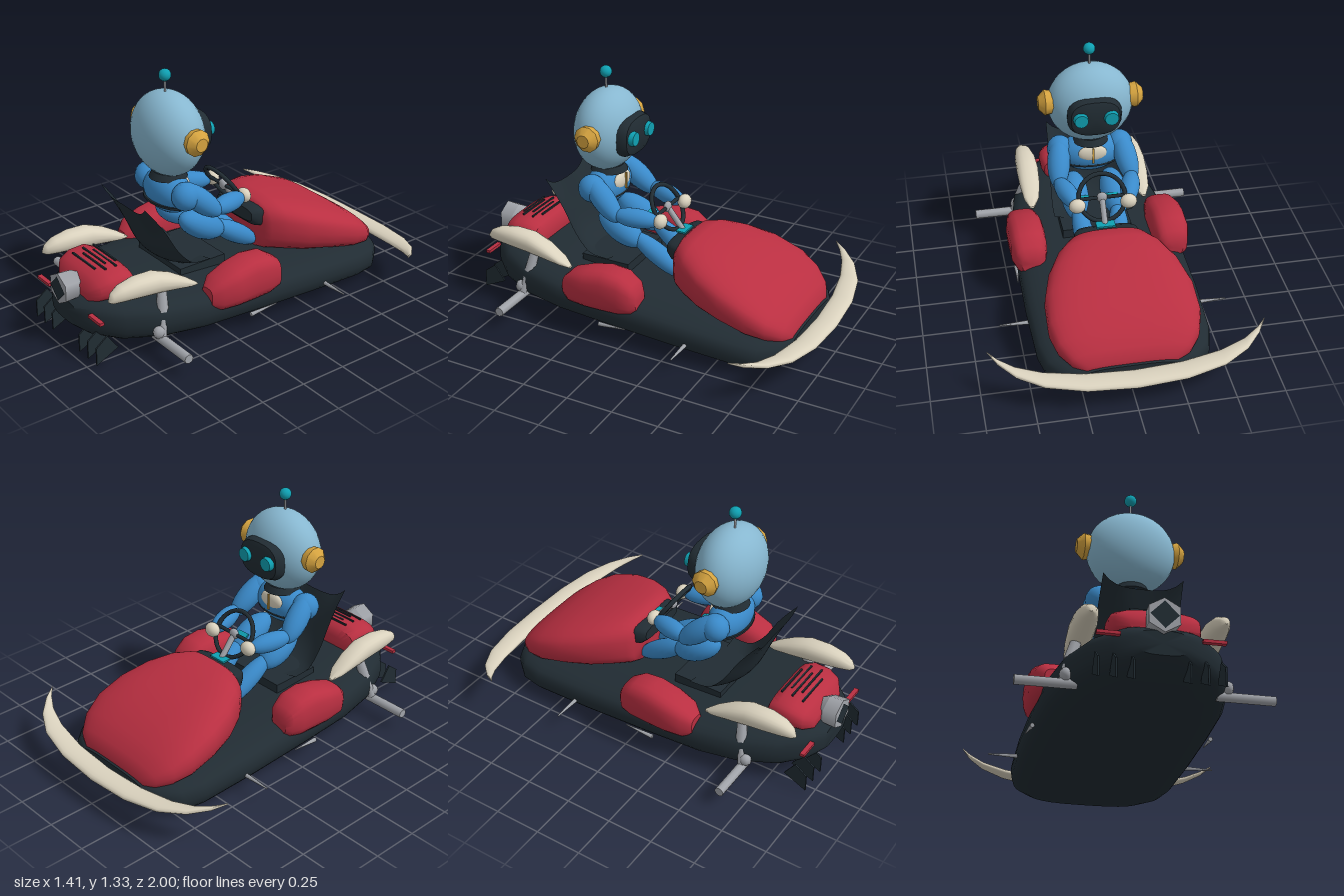
import * as THREE from 'three';
import { toCreasedNormals } from 'three/addons/utils/BufferGeometryUtils.js';

const V = (x, y, z) => new THREE.Vector3(x, y, z);

// Skin over superellipse sections [z, halfWidth, yBottom, yTop, xCentre]
function loft(sections, power = 2.6, n = 24, crease = 0.7) {
  const pos = [], idx = [], e = 2 / power;
  const bend = (c) => Math.sign(c) * Math.abs(c) ** e;
  for (const [z, w, y0, y1, cx = 0] of sections)
    for (let j = 0; j < n; j++) {
      const t = (j / n) * Math.PI * 2;
      pos.push(cx + w * bend(Math.cos(t)), (y0 + y1) / 2 + ((y1 - y0) / 2) * bend(Math.sin(t)), z);
    }
  const m = sections.length;
  for (let i = 0; i < m - 1; i++)
    for (let j = 0; j < n; j++) {
      const k = (j + 1) % n, a = i * n + j, b = i * n + k;
      idx.push(a, b, b + n, a, b + n, a + n);
    }
  for (const i of [0, m - 1]) {
    const [z, , y0, y1, cx = 0] = sections[i], c = pos.length / 3;
    pos.push(cx, (y0 + y1) / 2, z);
    for (let j = 0; j < n; j++) {
      const a = i * n + j, b = i * n + ((j + 1) % n);
      if (i === 0) idx.push(c, b, a); else idx.push(c, a, b);
    }
  }
  const g = new THREE.BufferGeometry();
  g.setAttribute('position', new THREE.Float32BufferAttribute(pos, 3));
  g.setIndex(idx);
  return toCreasedNormals(g, crease);
}

export function createModel() {
  const root = new THREE.Group();
  root.name = 'robotKart';
  const mat = {};
  const colours = {
    charcoal: 0x212c33, red: 0xb92f41, cream: 0xdad2be, paleBlue: 0x87b7d0,
    blue: 0x3a8aca, gold: 0xd6a440, teal: 0x0fa0b2, silver: 0xa1a4aa,
  };
  for (const [name, color] of Object.entries(colours)) {
    mat[name] = new THREE.MeshStandardMaterial({ color });
    mat[name].name = name;
  }
  const add = (name, geo, m, p = V(0, 0, 0)) => {
    const mesh = new THREE.Mesh(geo, mat[m]);
    mesh.name = name;
    mesh.position.copy(p);
    root.add(mesh);
    return mesh;
  };
  const aim = (mesh, a, b) => {
    mesh.quaternion.setFromUnitVectors(V(0, 1, 0), b.clone().sub(a).normalize());
    return mesh;
  };
  const bar = (name, a, b, r, m, r2 = r, sides = 8) =>
    aim(add(name, new THREE.CylinderGeometry(r2, r, a.distanceTo(b), sides), m, a.clone().lerp(b, 0.5)), a, b);
  const ball = (name, p, rx, ry, rz, m, n = 20) => {
    const mesh = add(name, new THREE.SphereGeometry(1, n, Math.ceil(n * 0.7)), m, p);
    mesh.scale.set(rx, ry, rz);
    return mesh;
  };
  const limb = (name, a, b, r) =>
    aim(ball(name, a.clone().lerp(b, 0.5), r, a.distanceTo(b) / 2, r, 'blue'), a, b);

  // Hull
  add('hull', loft([
    [-0.86, 0.27, 0.03, 0.17], [-0.82, 0.35, 0.005, 0.19], [-0.74, 0.42, 0, 0.2], [-0.62, 0.45, 0.005, 0.215],
    [-0.3, 0.46, 0.02, 0.24], [0.1, 0.455, 0.035, 0.265], [0.4, 0.44, 0.04, 0.285], [0.62, 0.4, 0.05, 0.3],
    [0.8, 0.32, 0.07, 0.305], [0.91, 0.22, 0.1, 0.295], [0.965, 0.12, 0.14, 0.26],
  ], 3.2, 32), 'charcoal');

  // Hood and dashboard
  add('hood', loft([
    [-0.85, 0.23, 0.13, 0.2], [-0.82, 0.3, 0.13, 0.255], [-0.75, 0.36, 0.14, 0.315], [-0.65, 0.39, 0.15, 0.385],
    [-0.5, 0.385, 0.18, 0.448], [-0.36, 0.345, 0.2, 0.49], [-0.25, 0.285, 0.22, 0.513], [-0.18, 0.225, 0.23, 0.512],
    [-0.155, 0.19, 0.24, 0.49],
  ], 3, 32, 1), 'red');
  add('dashboard', loft([[-0.2, 0.18, 0.36, 0.49], [-0.13, 0.17, 0.38, 0.495], [-0.1, 0.15, 0.41, 0.48]], 4), 'charcoal');
  add('dashScreen', new THREE.BoxGeometry(0.1, 0.009, 0.05), 'teal', V(0, 0.5, -0.125));

  // Engine cover with slots, and exhaust
  add('engineCover', loft([
    [0.66, 0.17, 0.27, 0.36], [0.68, 0.205, 0.27, 0.405], [0.73, 0.22, 0.27, 0.43], [0.81, 0.22, 0.27, 0.425],
    [0.87, 0.2, 0.27, 0.4], [0.91, 0.14, 0.27, 0.35],
  ], 3.2, 28), 'red');
  [0.71, 0.74, 0.77, 0.8, 0.83].forEach((z, i) =>
    add('coverSlot', new THREE.BoxGeometry(0.21, 0.009, 0.009), 'charcoal',
      V(i % 2 ? 0.03 : -0.02, z > 0.81 ? 0.418 : 0.428, z)));
  bar('exhaustTaper', V(0, 0.325, 0.84), V(0, 0.325, 0.92), 0.035, 'silver', 0.08, 6);
  bar('exhaust', V(0, 0.325, 0.92), V(0, 0.325, 0.995), 0.08, 'silver', 0.085, 6);
  add('exhaustHole', new THREE.CircleGeometry(0.068, 4), 'charcoal', V(0, 0.325, 0.999));

  // Front wing, a crescent lofted along x
  const wing = [];
  for (const [x, zo, zi, y0, y1] of [
    [0.705, -0.72, -0.715, 0.242, 0.25], [0.66, -0.792, -0.755, 0.213, 0.236], [0.58, -0.875, -0.8, 0.186, 0.215],
    [0.45, -0.945, -0.84, 0.16, 0.197], [0.25, -0.988, -0.87, 0.14, 0.183], [0, -1, -0.88, 0.13, 0.178],
  ]) {
    const s = [(zi - zo) / 2, y0, y1, -(zo + zi) / 2];
    wing.push([x, ...s]);
    if (x) wing.push([-x, ...s]);
  }
  add('frontWing', loft(wing.sort((a, b) => a[0] - b[0]), 2.2, 16, 1).rotateY(Math.PI / 2), 'cream');

  // Seat shell, a bent sheet
  const back = new THREE.CatmullRomCurve3([
    V(0, 0.305, 0.22), V(0, 0.31, 0.38), V(0, 0.38, 0.47), V(0, 0.52, 0.535), V(0, 0.655, 0.585)]);
  const seat = new THREE.PlaneGeometry(2, 1, 12, 16), sp = seat.attributes.position;
  for (let i = 0; i < sp.count; i++) {
    const u = sp.getX(i), v = sp.getY(i) + 0.5, p = back.getPoint(v);
    sp.setXYZ(i, u * (0.22 - 0.02 * v), p.y + 0.06 * u * u * u * u * v + 0.03 * u * u * (1 - v),
      p.z + 0.02 * u * u * v - 0.28 * u * u * v * (1 - v));
  }
  seat.computeVertexNormals();
  const shell = mat.charcoal.clone();
  shell.side = THREE.DoubleSide;
  mat.charcoal.side = THREE.DoubleSide;
  add('seat', seat, 'charcoal');
  add('seatBase', new THREE.BoxGeometry(0.38, 0.05, 0.28), 'charcoal', V(0, 0.29, 0.25));

  // Steering wheel and column
  const wheelC = V(0, 0.605, -0.025), tilt = Math.atan2(0.06, 0.095);
  add('steeringWheel', new THREE.TorusGeometry(0.125, 0.012, 8, 28), 'charcoal', wheelC).rotation.x = tilt;
  bar('steeringColumn', V(0, 0.45, -0.15), wheelC, 0.016, 'silver');
  bar('wheelSpoke', V(-0.12, 0.605, -0.025), V(0.12, 0.605, -0.025), 0.01, 'charcoal');
  ball('wheelHub', wheelC, 0.03, 0.03, 0.02, 'silver', 12);

  // Driver's head
  ball('head', V(0, 0.99, 0.325), 0.23, 0.222, 0.165, 'paleBlue', 32);
  add('visor', loft([
    [0.135, 0.09, 0.905, 1.055], [0.145, 0.13, 0.885, 1.08], [0.18, 0.145, 0.87, 1.09], [0.24, 0.14, 0.88, 1.08],
  ], 2.7), 'charcoal');
  bar('antennaRod', V(0, 1.2, 0.335), V(0, 1.28, 0.335), 0.006, 'silver');
  ball('antennaBall', V(0, 1.297, 0.335), 0.032, 0.032, 0.032, 'teal', 16);

  // Driver's body
  ball('torso', V(0, 0.675, 0.33), 0.17, 0.11, 0.1, 'blue', 24);
  bar('neck', V(0, 0.755, 0.325), V(0, 0.79, 0.325), 0.1, 'charcoal', 0.08, 20);
  const belt = add('belt', new THREE.CylinderGeometry(0.165, 0.165, 0.012, 24), 'charcoal', V(0, 0.632, 0.335));
  belt.scale.z = 0.6;
  ball('chestPlate', V(0, 0.705, 0.25), 0.08, 0.05, 0.025, 'cream', 16);
  add('chestStripe', new THREE.BoxGeometry(0.009, 0.09, 0.009), 'gold', V(0, 0.705, 0.223));

  for (const s of [-1, 1]) {
    // Ears and eyes
    bar('ear', V(s * 0.2, 1.01, 0.315), V(s * 0.245, 1.01, 0.315), 0.062, 'gold', 0.07, 10);
    bar('earCap', V(s * 0.245, 1.01, 0.315), V(s * 0.28, 1.01, 0.315), 0.07, 'gold', 0.035, 10);
    bar('eye', V(s * 0.08, 0.99, 0.15), V(s * 0.08, 0.99, 0.115), 0.042, 'teal', 0.036, 16);

    // Arms and legs
    ball('shoulder', V(s * 0.165, 0.7, 0.335), 0.07, 0.075, 0.075, 'blue', 16);
    limb('upperArm', V(s * 0.16, 0.765, 0.37), V(s * 0.205, 0.565, 0.15), 0.062);
    limb('forearm', V(s * 0.205, 0.6, 0.19), V(s * 0.135, 0.58, -0.05), 0.052);
    ball('hand', V(s * 0.137, 0.585, -0.055), 0.045, 0.04, 0.035, 'cream', 14);
    limb('thigh', V(s * 0.1, 0.55, 0.325), V(s * 0.115, 0.41, 0.07), 0.075);
    limb('shin', V(s * 0.11, 0.465, 0.13), V(s * 0.08, 0.26, -0.18), 0.055);
    add('kneePad', new THREE.BoxGeometry(0.07, 0.009, 0.03), 'teal', V(s * 0.08, 0.515, 0.11)).rotation.x = -0.5;

    // Side pod and rear fender
    add('sidePod', loft([
      [-0.07, 0.05, 0.2, 0.3], [-0.045, 0.08, 0.18, 0.345], [0.02, 0.098, 0.165, 0.387], [0.12, 0.1, 0.16, 0.397],
      [0.22, 0.1, 0.16, 0.375], [0.32, 0.085, 0.165, 0.34], [0.37, 0.045, 0.185, 0.29],
    ].map((q) => [...q, s * 0.39]), 3, 20), 'red');
    add('rearFender', loft([
      [0.385, 0.012, 0.288, 0.3, 0.32], [0.44, 0.042, 0.298, 0.34, 0.316], [0.53, 0.057, 0.312, 0.395, 0.312],
      [0.63, 0.062, 0.325, 0.435, 0.31], [0.74, 0.058, 0.335, 0.44, 0.31], [0.83, 0.044, 0.342, 0.425, 0.311],
      [0.88, 0.025, 0.345, 0.4, 0.313], [0.9, 0.006, 0.355, 0.37, 0.315],
    ].map(([z, w, a, b, x]) => [z, w, a, b, s * x]), 2.4, 18, 0.9), 'cream');

    // Axles, struts and side spikes
    bar('rearAxle', V(s * 0.33, 0.1, 0.65), V(s * 0.62, 0.1, 0.65), 0.025, 'silver');
    bar('strut', V(s * 0.4, 0.1, 0.65), V(s * 0.36, 0.25, 0.62), 0.022, 'silver', 0.018);
    bar('strutUpper', V(s * 0.36, 0.23, 0.62), V(s * 0.32, 0.36, 0.6), 0.03, 'silver', 0.025);
    ball('strutJoint', V(s * 0.385, 0.14, 0.66), 0.03, 0.035, 0.035, 'silver', 8);
    bar('frontAxle', V(s * 0.4, 0.1, -0.36), V(s * 0.605, 0.1, -0.36), 0.014, 'silver', 0.004);
    bar('sideBracket', V(s * 0.452, 0.085, 0.14), V(s * 0.462, 0.1, -0.02), 0.012, 'silver', 0.003);

    // Tail light
    add('tailLight', new THREE.BoxGeometry(0.11, 0.016, 0.025), 'red', V(s * 0.245, 0.24, 0.933));

    // Diffuser fins
    const fin = new THREE.Shape([[0.84, 0.075], [0.9, 0.16], [0.965, 0.11], [0.965, 0.015]].map((p) => new THREE.Vector2(...p)));
    for (const x of [0.13, 0.21, 0.29]) {
      const g = new THREE.ExtrudeGeometry(fin, { depth: 0.009, bevelEnabled: false });
      add('diffuserFin', g.rotateY(-Math.PI / 2), 'charcoal', V(s * x, 0, 0));
    }
  }
  return root;
}
